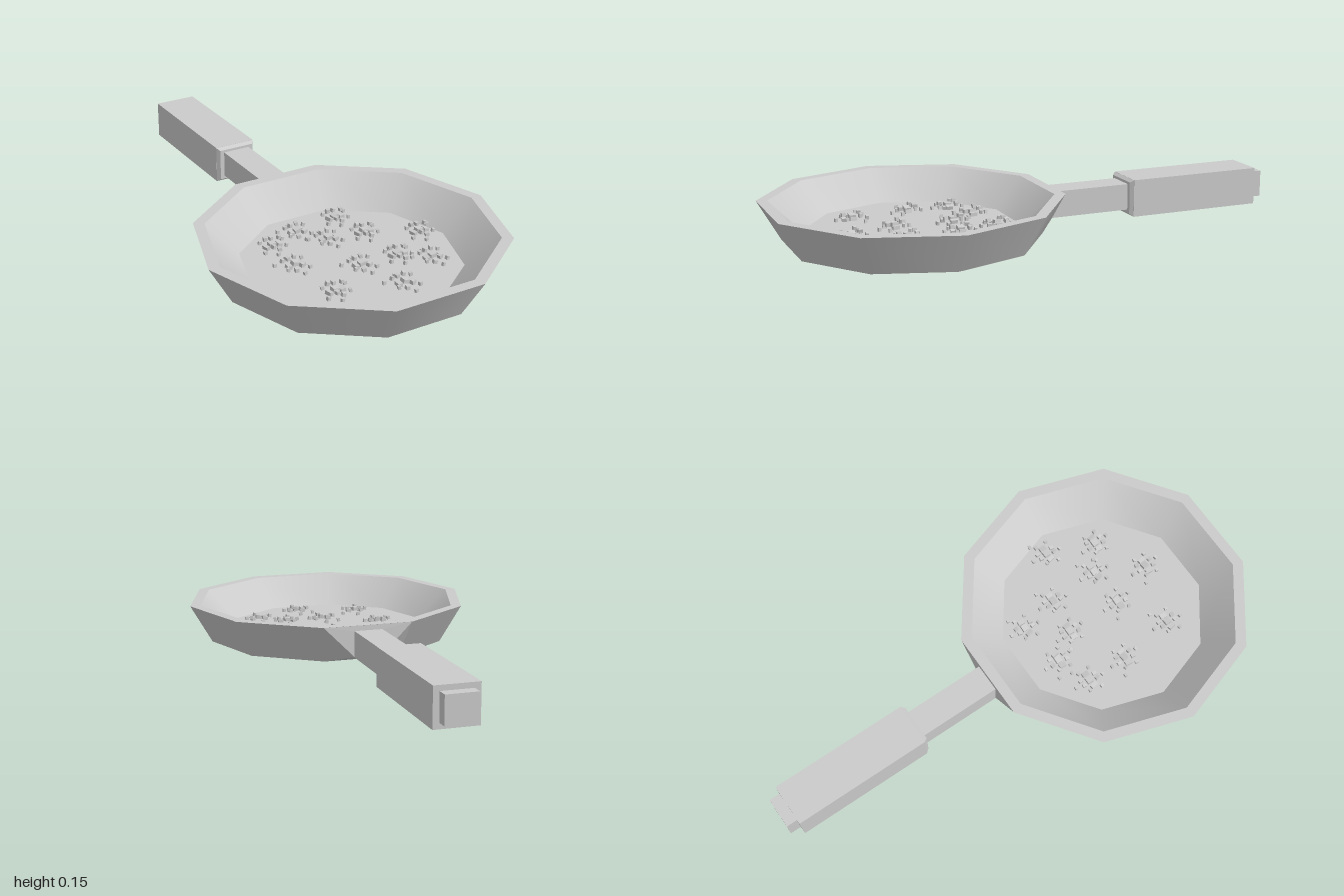
import * as THREE from 'three';
import { mergeGeometries } from 'three/addons/utils/BufferGeometryUtils.js';
import { ConvexGeometry } from 'three/addons/geometries/ConvexGeometry.js';

const grey = new THREE.MeshStandardMaterial({ color: 0xcccccc });
const flat = new THREE.MeshStandardMaterial({ color: 0xcccccc, flatShading: true });
const PAN_Z = 0.46;

function add(parent, name, geometry, material = flat) {
  const mesh = new THREE.Mesh(geometry, material);
  mesh.name = name;
  parent.add(mesh);
  return mesh;
}

// Box given by half width, bottom, top, and its two z limits
function bar(halfWidth, y0, y1, z0, z1) {
  return new THREE.BoxGeometry(halfWidth * 2, y1 - y0, Math.abs(z1 - z0))
    .translate(0, (y0 + y1) / 2, (z0 + z1) / 2);
}

const rect = (w, y0, y1, z) =>
  [[-w, y0], [w, y0], [w, y1], [-w, y1]].map(([x, y]) => new THREE.Vector3(x, y, z));

// Ten-sided pan: each profile step is a separate ring so its edges stay sharp
function makePan() {
  const profile = [[0, 0], [0.48, 0], [0.567, 0.15], [0.525, 0.15], [0.402, 0.035], [0, 0.035]];
  const names = ['base', 'outerWall', 'rim', 'innerWall', 'floor'];
  const pan = new THREE.Group();
  pan.name = 'pan';
  names.forEach((name, i) => {
    const points = [profile[i], profile[i + 1]].map(([r, y]) => new THREE.Vector2(r, y));
    add(pan, name, new THREE.LatheGeometry(points, 10, Math.PI / 2), grey);
  });
  pan.position.z = PAN_Z;
  return pan;
}

function makeHandle() {
  const handle = new THREE.Group();
  handle.name = 'handle';
  // Flare joining the rear wall to the neck
  add(handle, 'handleJoint', new ConvexGeometry([
    new THREE.Vector3(-0.148, 0, 0.003), new THREE.Vector3(0.148, 0, 0.003),
    new THREE.Vector3(-0.175, 0.15, -0.079), new THREE.Vector3(0.175, 0.15, -0.079),
    ...rect(0.055, 0.03, 0.13, -0.08),
  ]));
  add(handle, 'neck', bar(0.055, 0.028, 0.13, -0.07, -0.41));
  add(handle, 'gripBevel', new ConvexGeometry([
    ...rect(0.072, 0.015, 0.14, -0.4), ...rect(0.083, 0.004, 0.15, -0.415),
  ]));
  add(handle, 'grip', bar(0.083, 0.004, 0.15, -0.414, -0.957));
  add(handle, 'endCap', bar(0.06, 0.026, 0.13, -0.95, -1));
  return handle;
}

// One cluster of crumbs: x, height, z, width, depth of each
const CRUMBS = [
  [0, 0.020, 0, 0.026, 0.024], [-0.026, 0.014, 0.004, 0.014, 0.028],
  [0.027, 0.014, 0.002, 0.018, 0.026], [-0.012, 0.030, -0.03, 0.012, 0.016],
  [0.012, 0.026, -0.032, 0.012, 0.016], [-0.01, 0.024, 0.03, 0.012, 0.016],
  [0.013, 0.012, 0.034, 0.014, 0.016], [-0.038, 0.024, -0.022, 0.012, 0.01],
  [0.04, 0.028, -0.022, 0.012, 0.012], [-0.044, 0.010, 0.03, 0.012, 0.012],
  [0.044, 0.018, 0.028, 0.01, 0.012], [0.004, 0.010, -0.058, 0.014, 0.01],
  [-0.006, 0.008, 0.06, 0.012, 0.01], [0.062, 0.010, -0.036, 0.012, 0.01],
];

const CLUSTERS = [
  [-0.205, 0.25], [-0.07, 0.2], [0.11, 0.17], [0, 0.305], [0.14, 0.325], [-0.205, 0.415],
  [0.32, 0.42], [0, 0.53], [0.15, 0.53], [0.25, 0.605], [-0.18, 0.64], [0.06, 0.71],
];

function makeCrumbs() {
  const boxes = [];
  CLUSTERS.forEach(([cx, cz], i) => {
    const flip = i % 2 ? -1 : 1;
    CRUMBS.forEach(([x, y, z, w, d], j) => {
      boxes.push(new THREE.BoxGeometry(w, 0.014, d)
        .rotateZ(0.25 * Math.sin(j * 2.3 + i))
        .rotateY(0.2 * Math.sin(j * 1.7))
        .translate(cx + x * flip, 0.035 + y, cz + z));
    });
  });
  return mergeGeometries(boxes);
}

export function createModel() {
  const model = new THREE.Group();
  model.name = 'fryingPan';
  model.add(makePan(), makeHandle());
  add(model, 'crumbs', makeCrumbs());
  return model;
}
